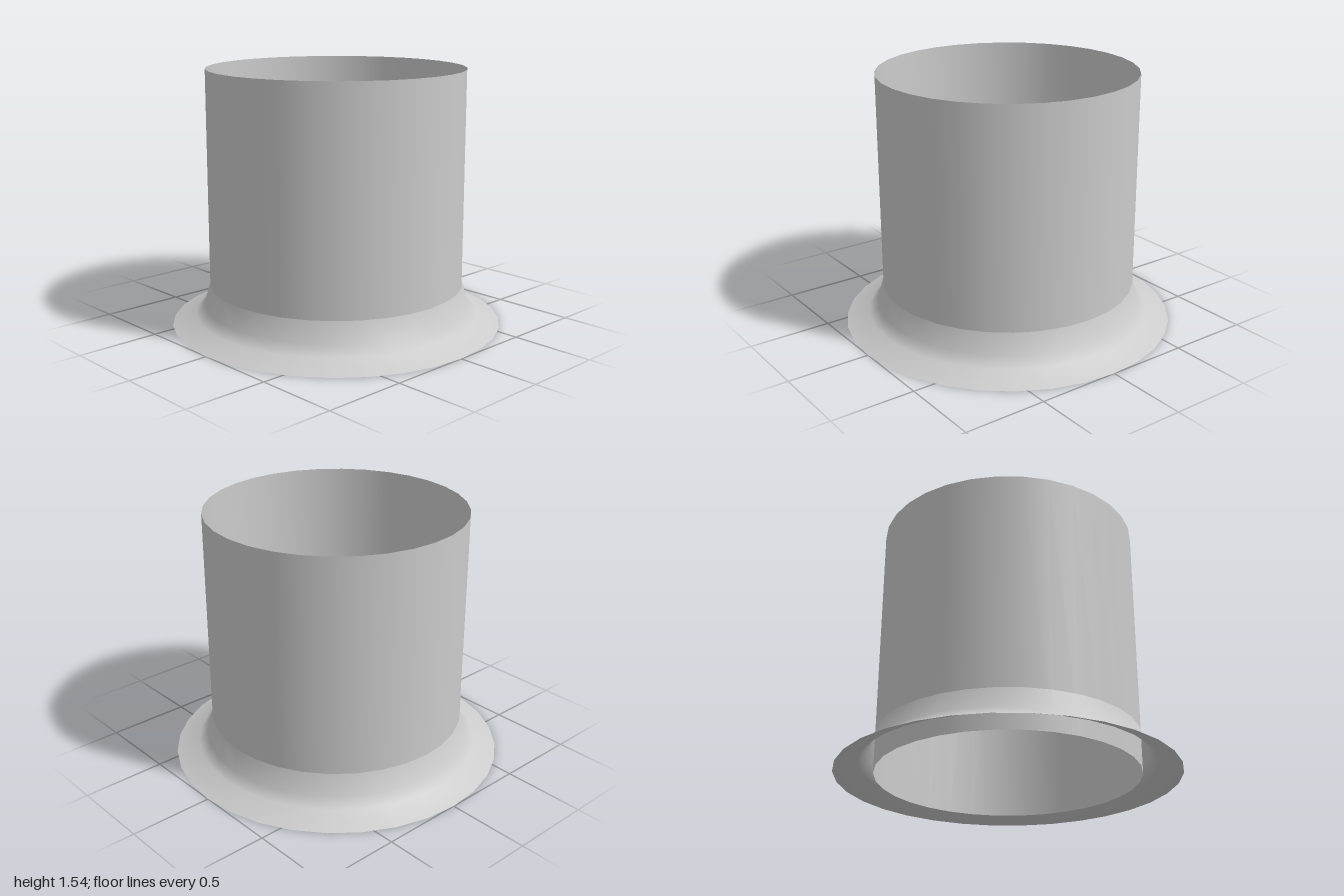
import * as THREE from 'three';

const SEGMENTS = 32;
const PIPE_RADIUS = 0.77;
const PIPE_HEIGHT = 1.54;

// Thin open surface turned around y from [radius, height] points, listed bottom to top
function turned(name, profile, material) {
  const points = profile.map(([r, y]) => new THREE.Vector2(r, y));
  const mesh = new THREE.Mesh(new THREE.LatheGeometry(points, SEGMENTS), material);
  mesh.name = name;
  return mesh;
}

export function createModel() {
  const group = new THREE.Group();
  group.name = 'flaredCollar';
  const material = new THREE.MeshStandardMaterial({ color: 0xcccccc, side: THREE.DoubleSide });

  // Straight pipe, open at both ends
  group.add(turned('pipe', [[PIPE_RADIUS, 0], [PIPE_RADIUS, PIPE_HEIGHT]], material));

  // Flared skirt, hollow underneath
  group.add(turned('skirt', [[1, 0], [0.86, 0.057], [0.808, 0.113], [PIPE_RADIUS, 0.235]], material));

  return group;
}
